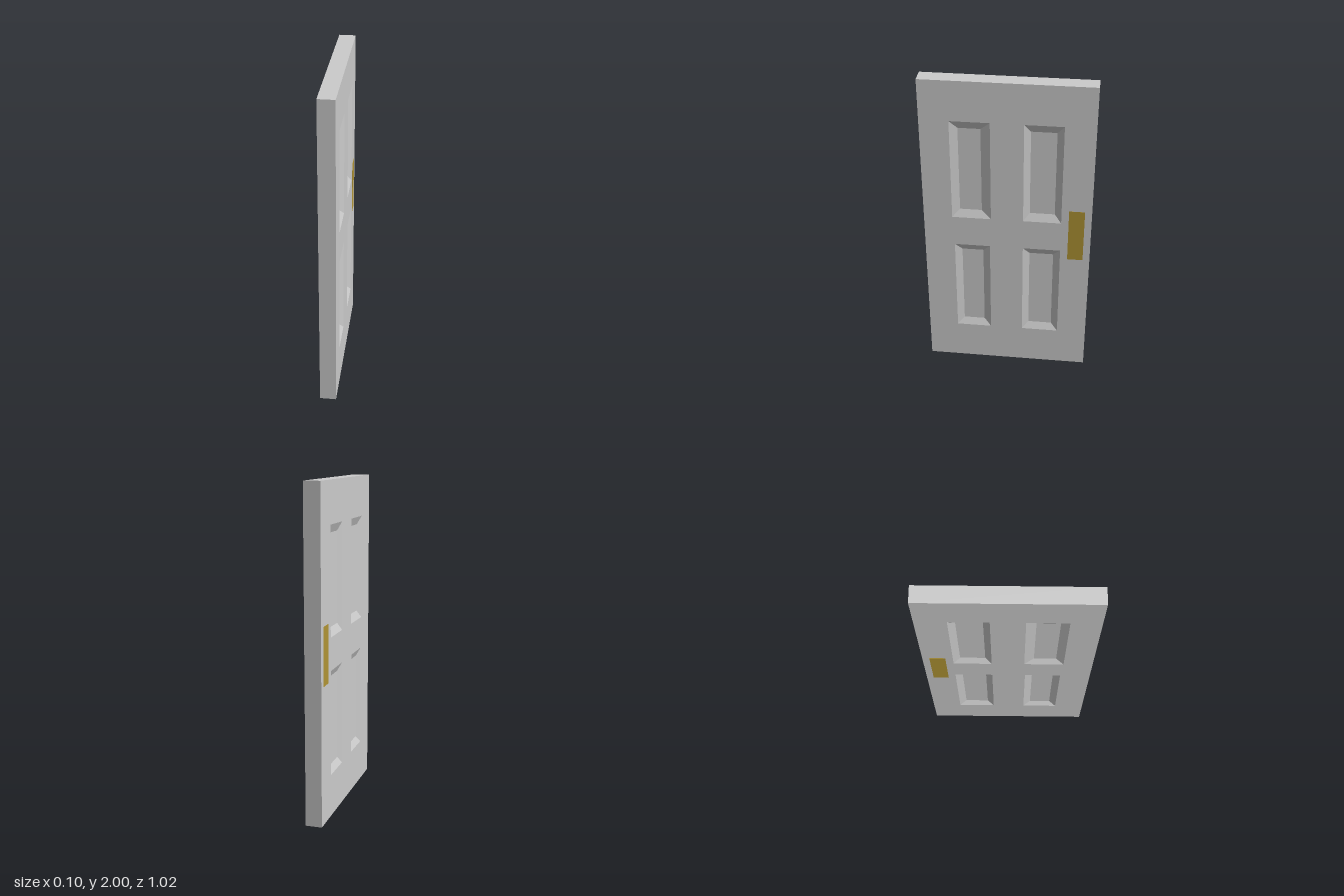
import * as THREE from 'three';

const HALF = 0.05;    // half the door thickness
const DEPTH = 0.02;   // how far the panels are sunk
const DOOR = [-0.51, 0, 0.51, 2];

// Sunk panels as [z0, y0, z1, y1]: outer opening and inner floor
const PANELS = [
  { name: 'upperFrontPanel', outer: [0.098, 1.1, 0.335, 1.75], inner: [0.155, 1.15, 0.288, 1.7] },
  { name: 'upperBackPanel', outer: [-0.328, 1.1, -0.098, 1.75], inner: [-0.287, 1.15, -0.136, 1.7] },
  { name: 'lowerFrontPanel', outer: [0.106, 0.26, 0.325, 0.9], inner: [0.15, 0.307, 0.282, 0.855] },
  { name: 'lowerBackPanel', outer: [-0.328, 0.26, -0.098, 0.9], inner: [-0.285, 0.307, -0.138, 0.855] },
];
const PLATE = [-0.468, 0.84, -0.373, 1.19];

// Anticlockwise corners of a rectangle lying at height w
const corners = ([a, b, c, d], w) => [[a, b, w], [c, b, w], [c, d, w], [a, d, w]];

// Rectangle as seen from one side of the door
const seenFrom = (side, [z0, y0, z1, y1]) => (side > 0 ? [-z1, y0, -z0, y1] : [z0, y0, z1, y1]);

function quads(list) {
  const points = list.flatMap(([a, b, c, d]) => [a, b, c, a, c, d]).flat();
  const geometry = new THREE.BufferGeometry();
  geometry.setAttribute('position', new THREE.Float32BufferAttribute(points, 3));
  geometry.computeVertexNormals();
  return geometry;
}

// Four quads joining two rectangular loops
function band(from, to) {
  return from.map((p, i) => [p, from[(i + 1) % 4], to[(i + 1) % 4], to[i]]);
}

export function createModel() {
  const door = new THREE.Group();
  door.name = 'door';
  const paint = new THREE.MeshStandardMaterial({ color: 0xcccccc, flatShading: true });
  const brass = new THREE.MeshStandardMaterial({ color: 0xb09434 });

  const add = (parent, name, geometry, material) => {
    const mesh = new THREE.Mesh(geometry, material);
    mesh.name = name;
    parent.add(mesh);
    return mesh;
  };

  // Narrow edges around the slab
  const edge = add(door, 'doorEdge', quads(band(corners(DOOR, -HALF), corners(DOOR, HALF))), paint);
  edge.rotation.y = Math.PI / 2;

  // Two broad faces, each with four sunk panels and a lock plate
  for (const side of [1, -1]) {
    const face = new THREE.Group();
    face.name = side > 0 ? 'leftFace' : 'rightFace';
    face.rotation.y = side * Math.PI / 2;
    face.position.x = side * HALF;
    door.add(face);

    const outline = (rect) => corners(rect, 0).map(([u, y]) => new THREE.Vector2(u, y));
    const frame = new THREE.Shape(outline(DOOR));
    for (const { name, outer, inner } of PANELS) {
      const rim = seenFrom(side, outer);
      const floor = corners(seenFrom(side, inner), -DEPTH);
      frame.holes.push(new THREE.Path(outline(rim).reverse()));
      add(face, name, quads([...band(corners(rim, 0), floor), floor]), paint);
    }
    add(face, 'frame', new THREE.ShapeGeometry(frame), paint);

    // Thin plate almost flush with the frame
    const [u0, y0, u1, y1] = seenFrom(side, PLATE);
    const plate = add(face, 'lockPlate', new THREE.BoxGeometry(u1 - u0, y1 - y0, 0.002), brass);
    plate.position.set((u0 + u1) / 2, (y0 + y1) / 2, 0);
  }
  return door;
}
